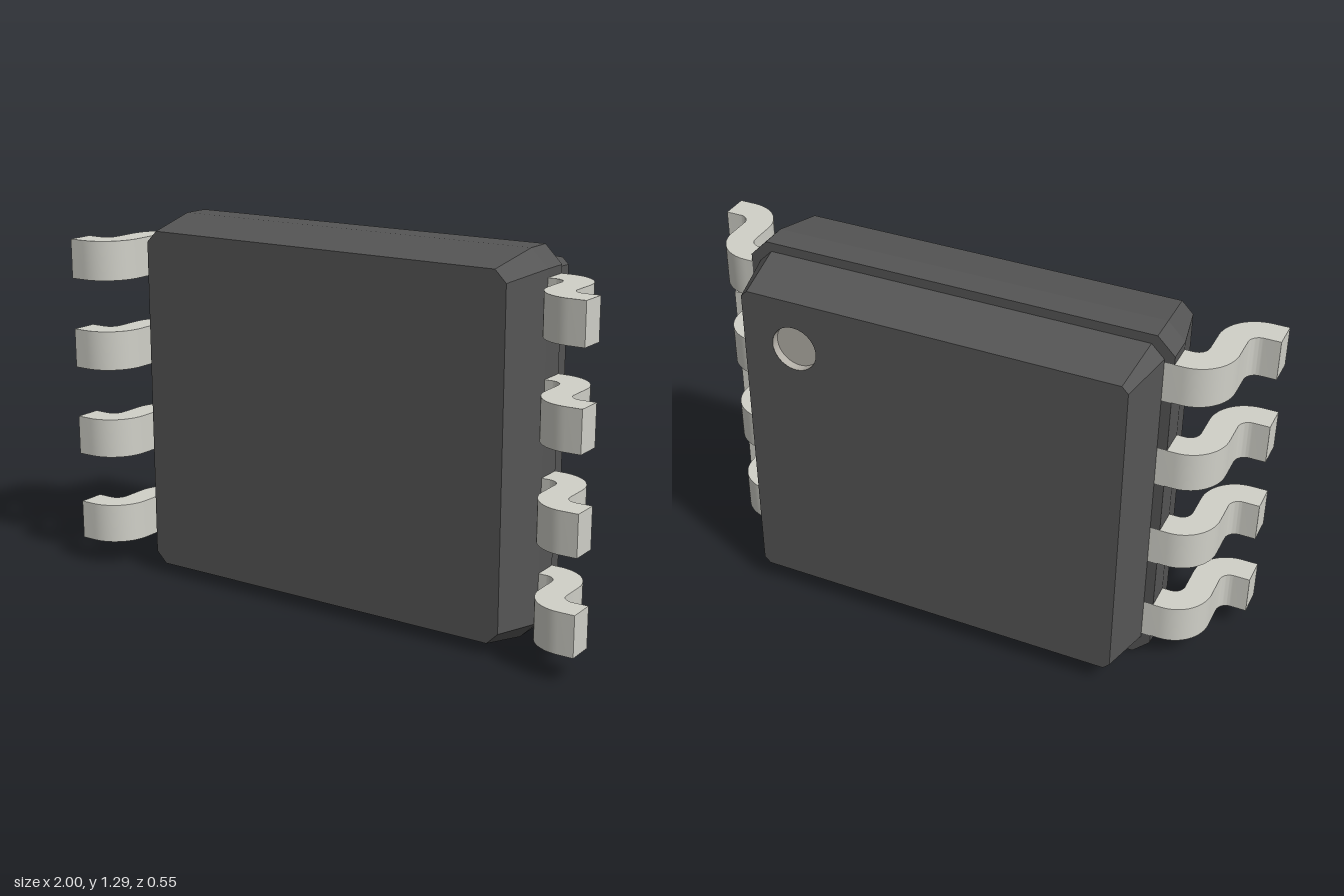
import * as THREE from 'three';
import { toCreasedNormals } from 'three/addons/utils/BufferGeometryUtils.js';

const CY = 0.645; // height of the body's centre

// rectangle with chamfered corners, counter-clockwise: half width, half height, chamfer
function octagon(w, h, c) {
  return [
    [w, -h + c], [w, h - c], [w - c, h], [-w + c, h],
    [-w, h - c], [-w, -h + c], [-w + c, -h], [w - c, -h],
  ].map(([x, y]) => new THREE.Vector2(x, y + CY));
}

// skin through octagonal sections { z, w, h, c } ordered back to front
function loft(sections, capBack, capFront) {
  const positions = [];
  const index = [];
  for (const s of sections) {
    for (const p of octagon(s.w, s.h, s.c)) positions.push(p.x, p.y, s.z);
  }
  for (let s = 0; s < sections.length - 1; s++) {
    for (let i = 0; i < 8; i++) {
      const a = s * 8 + i, b = s * 8 + (i + 1) % 8;
      index.push(a, b, b + 8, a, b + 8, a + 8);
    }
  }
  const last = (sections.length - 1) * 8;
  for (let i = 1; i < 7; i++) {
    if (capBack) index.push(0, i + 1, i);
    if (capFront) index.push(last, last + i, last + i + 1);
  }
  const g = new THREE.BufferGeometry();
  g.setAttribute('position', new THREE.Float32BufferAttribute(positions, 3));
  g.setIndex(index);
  g.computeVertexNormals();
  return g;
}

// S-bent pin of constant thickness, drawn in x and -z, extruded along y
function pinGeometry() {
  const r = 0.04, R = 0.135, height = 0.14;
  const xi = 0.81, xo = 0.905, zTop = 0.08, zUnder = -0.015, zFoot = -0.18, zEnd = -0.275;
  const s = new THREE.Shape();
  s.moveTo(0.69, zTop);
  s.lineTo(0.69, zUnder);
  s.absarc(xi - r, zUnder - r, r, Math.PI / 2, 0, true);
  s.absarc(xi + R, zEnd + R, R, Math.PI, Math.PI * 1.5, false);
  s.lineTo(1, zEnd);
  s.lineTo(1, zFoot);
  s.absarc(xo + r, zFoot + r, r, Math.PI * 1.5, Math.PI, true);
  s.absarc(xo - R, zTop - R, R, 0, Math.PI / 2, false);
  s.closePath();
  const g = new THREE.ExtrudeGeometry(s, { depth: height, bevelEnabled: false, curveSegments: 10 });
  g.translate(0, 0, -height / 2);
  g.rotateX(-Math.PI / 2);
  return toCreasedNormals(g, Math.PI / 6);
}

export function createModel() {
  const model = new THREE.Group();
  const bodyMat = new THREE.MeshStandardMaterial({ color: 0x555555, flatShading: true });
  const metalMat = new THREE.MeshStandardMaterial({ color: 0xd0d0c8 });
  const markMat = new THREE.MeshStandardMaterial({ color: 0xb4b0a8, side: THREE.DoubleSide });

  const add = (parent, name, geometry, material) => {
    const mesh = new THREE.Mesh(geometry, material);
    mesh.name = name;
    parent.add(mesh);
    return mesh;
  };

  // Body: wider front half and narrower back half meeting in a small ledge
  const body = new THREE.Group();
  body.name = 'body';
  model.add(body);
  add(body, 'frontHalf', loft([
    { z: -0.08, w: 0.742, h: 0.645, c: 0.06 },
    { z: 0.015, w: 0.742, h: 0.645, c: 0.06 },
    { z: 0.21, w: 0.703, h: 0.605, c: 0.04 },
  ], true, true), bodyMat);
  const backFace = { z: -0.277, w: 0.667, h: 0.571, c: 0.022 };
  add(body, 'backHalf', loft([
    backFace,
    { z: -0.08, w: 0.709, h: 0.613, c: 0.045 },
  ], false, false), bodyMat);

  // Back face with a round hole for the orientation mark
  const mark = { x: 0.48, y: 1.04, r: 0.08, depth: 0.03 };
  const face = new THREE.Shape(octagon(backFace.w, backFace.h, backFace.c));
  const hole = new THREE.Path();
  hole.absarc(-mark.x, mark.y, mark.r, 0, Math.PI * 2, true);
  face.holes.push(hole);
  const faceGeo = new THREE.ShapeGeometry(face, 32);
  faceGeo.rotateY(Math.PI);
  faceGeo.translate(0, 0, backFace.z);
  add(body, 'backFace', faceGeo, bodyMat);

  // Recessed orientation mark
  const wall = new THREE.CylinderGeometry(mark.r, mark.r, mark.depth, 48, 1, true);
  wall.rotateX(Math.PI / 2);
  add(body, 'markWall', wall, markMat).position.set(mark.x, mark.y, backFace.z + mark.depth / 2);
  const floor = new THREE.CircleGeometry(mark.r, 48);
  floor.rotateY(Math.PI);
  add(body, 'markFloor', floor, markMat).position.set(mark.x, mark.y, backFace.z + mark.depth);

  // Four pins per side; the right ones are turned half round
  const pin = pinGeometry();
  for (let i = 0; i < 4; i++) {
    const y = 0.163 + i * 0.323;
    add(model, 'leftPin' + (i + 1), pin, metalMat).position.y = y;
    const right = add(model, 'rightPin' + (i + 1), pin, metalMat);
    right.position.y = y;
    right.rotation.z = Math.PI;
  }
  return model;
}
